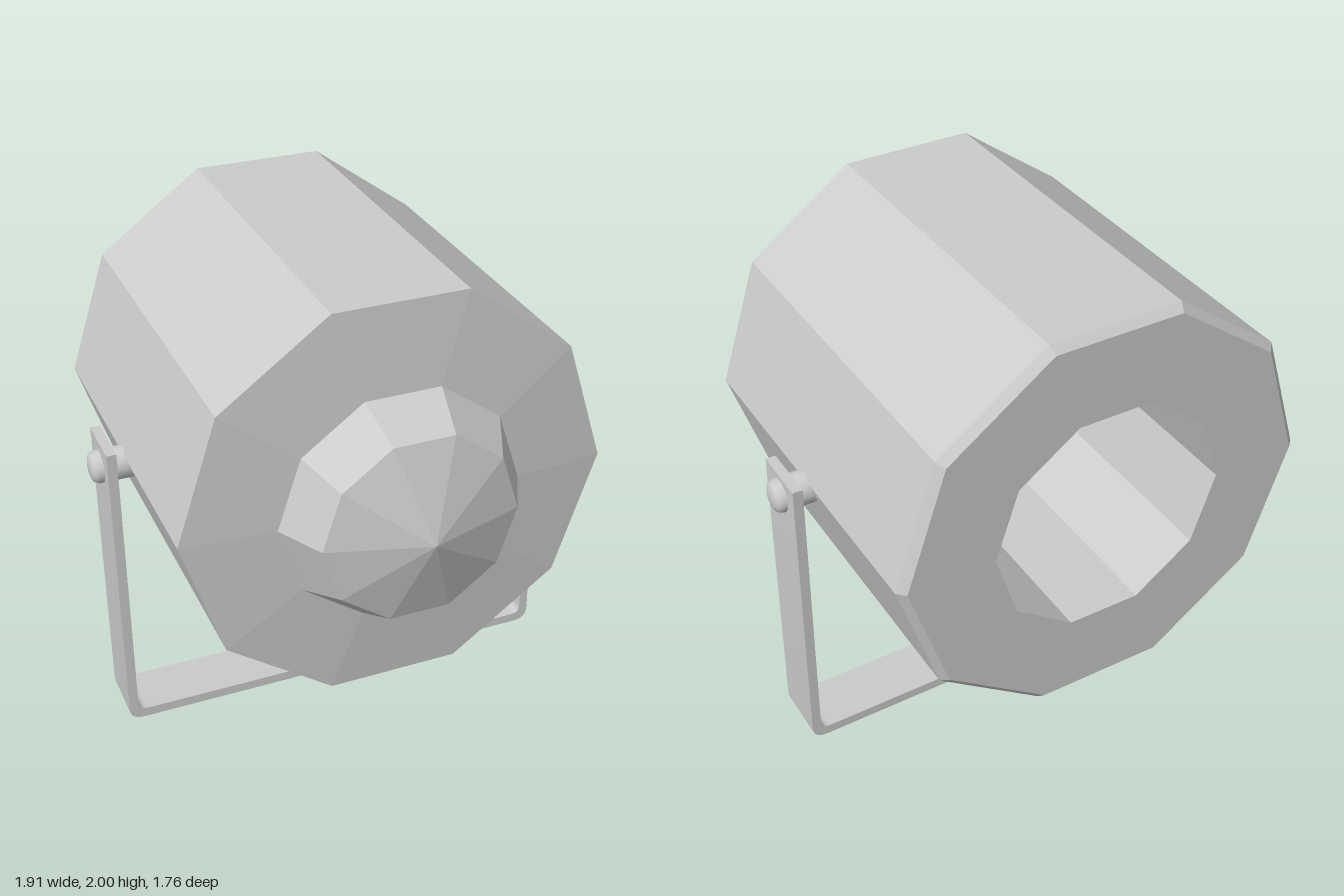
import * as THREE from 'three';
import { toCreasedNormals } from 'three/addons/utils/BufferGeometryUtils.js';

const AXIS_Y = 1.215; // height of the housing axis
const PIVOT = { y: 1.17, z: -0.14 };

const points = (list) => list.map(([r, h]) => new THREE.Vector2(r, h));

// Ten-sided turned part with its axis along z; profile is [radius, z]
function decagonPart(name, profile, material) {
  const geometry = new THREE.LatheGeometry(points(profile), 10, Math.PI / 2);
  geometry.rotateX(Math.PI / 2);
  const mesh = new THREE.Mesh(geometry, material);
  mesh.name = name;
  mesh.position.y = AXIS_Y;
  return mesh;
}

export function createModel() {
  const group = new THREE.Group();
  group.name = 'spotlight';
  const faceted = new THREE.MeshStandardMaterial({ color: 0xcccccc, flatShading: true });
  const smooth = new THREE.MeshStandardMaterial({ color: 0xcccccc });

  // Housing: blind recess at the back, bevelled rim, slightly conical front
  group.add(decagonPart('housing', [
    [0, -0.04], [0.46, -0.04], [0.46, -0.88], [0.795, -0.88],
    [0.825, -0.85], [0.825, 0.56], [0.47, 0.59],
  ], faceted));

  // Pointed front lens
  group.add(decagonPart('lens', [[0.475, 0.58], [0.375, 0.77], [0, 0.885]], faceted));

  // U-shaped bracket bent from flat strip
  const strip = new THREE.Shape();
  strip.moveTo(-0.91, 1.275);
  strip.lineTo(-0.91, 0.06);
  strip.quadraticCurveTo(-0.91, 0.008, -0.85, 0.008);
  strip.lineTo(0.86, 0);
  strip.quadraticCurveTo(0.922, 0, 0.922, 0.06);
  strip.lineTo(0.914, 1.255);
  strip.lineTo(0.875, 1.255);
  strip.lineTo(0.885, 0.075);
  strip.quadraticCurveTo(0.885, 0.04, 0.845, 0.04);
  strip.lineTo(-0.835, 0.048);
  strip.quadraticCurveTo(-0.872, 0.048, -0.872, 0.085);
  strip.lineTo(-0.872, 1.275);
  strip.closePath();
  const width = 0.23;
  const bracketGeometry = new THREE.ExtrudeGeometry(strip, {
    depth: width, bevelEnabled: false, curveSegments: 6,
  });
  bracketGeometry.translate(0, 0, PIVOT.z - width / 2);
  const bracket = new THREE.Mesh(toCreasedNormals(bracketGeometry, 0.6), smooth);
  bracket.name = 'bracket';
  group.add(bracket);

  // Pivot bolts with rounded heads, one per side
  const boltGeometry = new THREE.LatheGeometry(points([
    [0, 0.7], [0.065, 0.7], [0.065, 0.925], [0.056, 0.945], [0.035, 0.953], [0, 0.956],
  ]), 14);
  boltGeometry.rotateZ(-Math.PI / 2);
  const boltCreased = toCreasedNormals(boltGeometry, 0.9);
  for (const [name, turn] of [['leftBolt', 0], ['rightBolt', Math.PI]]) {
    const bolt = new THREE.Mesh(boltCreased, smooth);
    bolt.name = name;
    bolt.rotation.y = turn;
    bolt.position.set(0, PIVOT.y, PIVOT.z);
    group.add(bolt);
  }

  return group;
}
